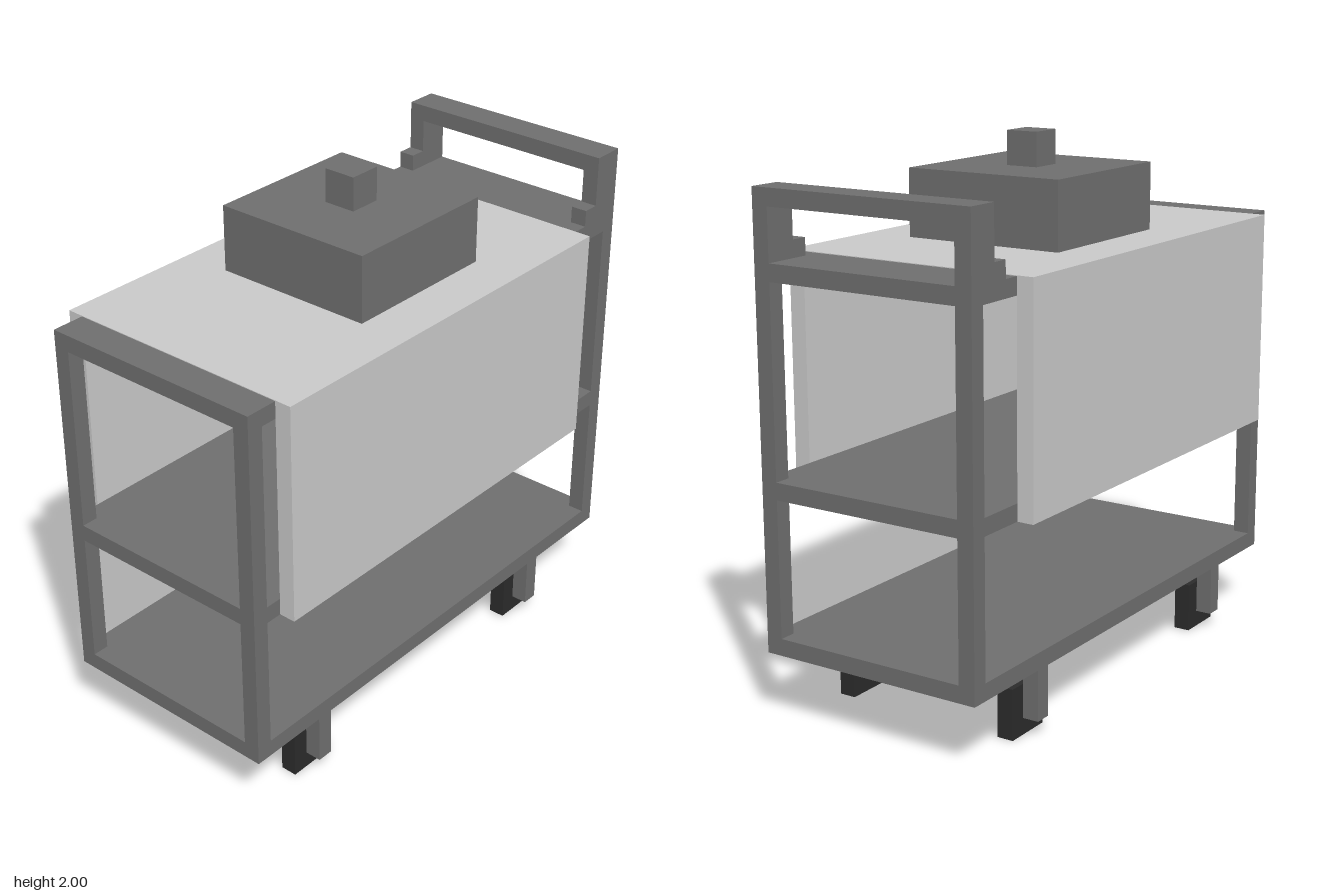
import * as THREE from 'three';

export function createModel() {
  const cart = new THREE.Group();
  cart.name = 'servingCart';

  const material = (name, color) => {
    const m = new THREE.MeshStandardMaterial({ color });
    m.name = name;
    return m;
  };
  const metal = material('greyMetal', 0x6e6e6e);
  const cloth = material('paleCloth', 0xc8c8c8);
  const rubber = material('darkRubber', 0x2b2b2b);

  const U = 0.0625; // bar thickness, the unit of the whole design

  // Box between two corners, measured in bar thicknesses
  const box = (name, mat, [x0, y0, z0], [x1, y1, z1]) => {
    const mesh = new THREE.Mesh(
      new THREE.BoxGeometry((x1 - x0) * U, (y1 - y0) * U, (z1 - z0) * U), mat);
    mesh.position.set((x0 + x1) * U / 2, (y0 + y1) * U / 2, (z0 + z1) * U / 2);
    mesh.name = name;
    cart.add(mesh);
  };

  // The same box on the left and the right
  const pair = (name, mat, [x0, y0, z0], [x1, y1, z1]) => {
    box(name + 'Left', mat, [x0, y0, z0], [x1, y1, z1]);
    box(name + 'Right', mat, [-x1, y0, z0], [-x0, y1, z1]);
  };

  // Three full-length shelves
  for (const [name, y] of [['bottomShelf', 4], ['middleShelf', 13], ['topShelf', 25]]) {
    box(name, metal, [-7, y, -16], [7, y + 1, 16]);
  }

  // Corner posts between the shelves
  for (const [name, z] of [['frontPost', 15], ['backPost', -16]]) {
    pair(name + 'Lower', metal, [6, 5, z], [7, 13, z + 1]);
    pair(name + 'Upper', metal, [6, 14, z], [7, 25, z + 1]);
  }

  // Push handle at the back with small step brackets
  pair('handlePost', metal, [6, 26, -16], [7, 29, -14]);
  box('handleBar', metal, [-7, 29, -16], [7, 30, -14]);
  pair('handleBracket', metal, [6, 26, -14], [7, 27, -13]);

  // Cloth over the top with a hanging panel on each side
  box('clothTop', cloth, [-8, 26, -12], [8, 26.04, 14]);
  pair('clothSide', cloth, [7, 13, -12], [8, 26, 14]);

  // Serving dish lid and its knob
  box('dishLid', metal, [-5, 26.04, -5], [5, 30, 5]);
  box('lidKnob', metal, [-1, 30, -1], [1, 32, 1]);

  // Square casters on outer legs
  for (const [name, z] of [['front', 9], ['back', -11]]) {
    pair(name + 'CasterLeg', metal, [6, 1, z + 1], [7, 4, z + 2]);
    pair(name + 'Wheel', rubber, [5, 0, z], [6, 3, z + 3]);
  }

  return cart;
}
